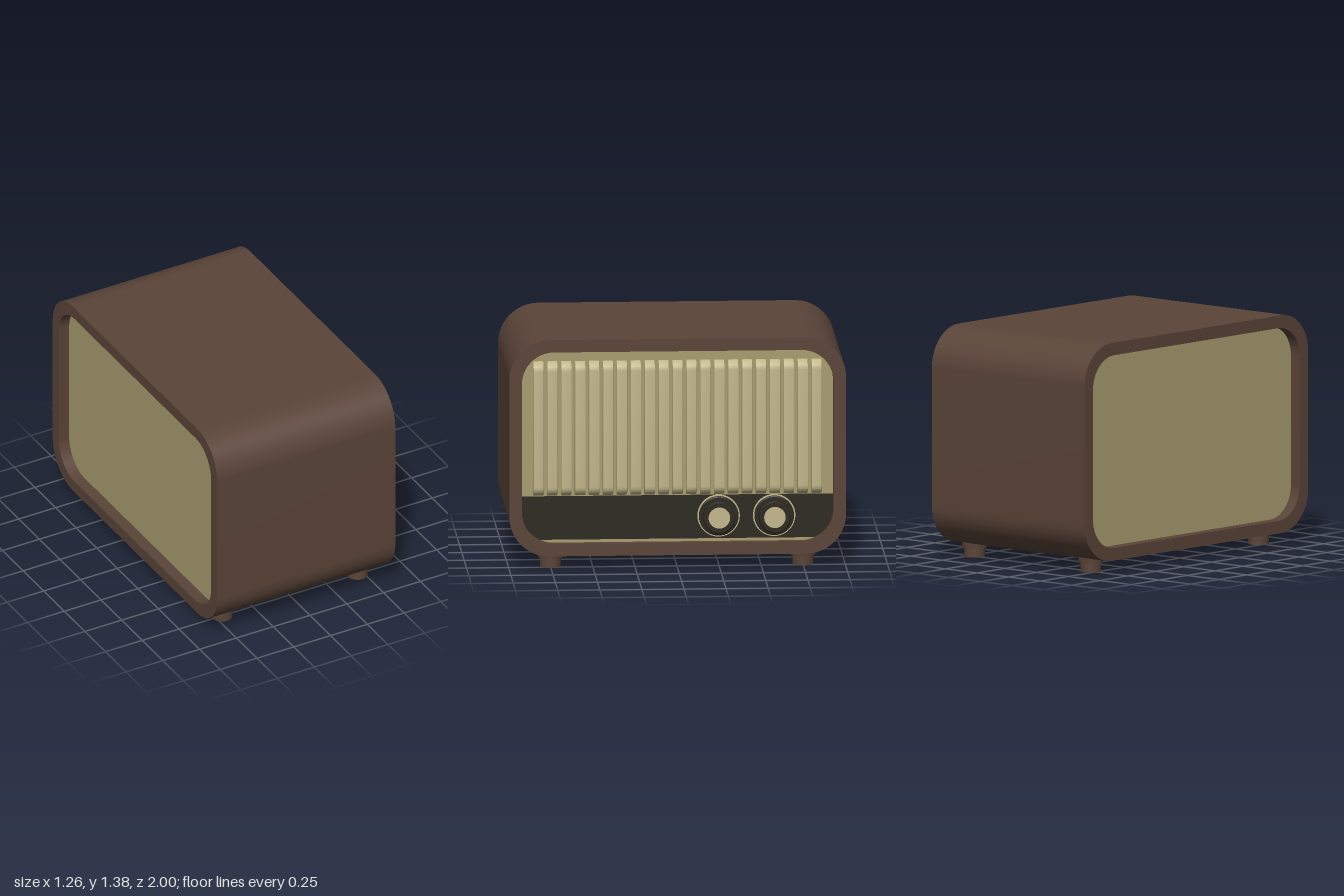
import * as THREE from 'three';
import { toCreasedNormals } from 'three/addons/utils/BufferGeometryUtils.js';

const material = (color, side = THREE.FrontSide) =>
  new THREE.MeshStandardMaterial({ color, side });

// Rounded rectangle in the cross-section plane (width along z, height along y)
function roundedRect(path, halfWidth, bottom, top, r) {
  const a = halfWidth - r, h = Math.PI / 2;
  path.moveTo(-a, bottom);
  path.absarc(a, bottom + r, r, -h, 0);
  path.absarc(a, top - r, r, 0, h);
  path.absarc(-a, top - r, r, h, 2 * h);
  path.absarc(-a, bottom + r, r, 2 * h, 3 * h);
  path.closePath();
  return path;
}

// Extrudes a cross-section from x0 to x1
function extrudeAlongX(shape, x0, x1) {
  const g = new THREE.ExtrudeGeometry(shape, { depth: x1 - x0, bevelEnabled: false, curveSegments: 20 });
  g.rotateY(Math.PI / 2).translate(x0, 0, 0);
  return toCreasedNormals(g, 0.5);
}

export function createModel() {
  const model = new THREE.Group();
  const wood = material(0x5a4438);
  const cream = material(0xc4b88c);
  const backing = material(0xa89d70);
  const dark = material(0x2c2820, THREE.DoubleSide);

  const add = (name, geometry, mat, parent = model) => {
    const mesh = new THREE.Mesh(geometry, mat);
    mesh.name = name;
    parent.add(mesh);
    return mesh;
  };

  // Cabinet: open rounded sleeve
  const sleeve = roundedRect(new THREE.Shape(), 1, 0.08, 1.385, 0.24);
  sleeve.holes.push(roundedRect(new THREE.Path(), 0.925, 0.155, 1.31, 0.19));
  add('cabinet', extrudeAlongX(sleeve, -0.63, 0.58), wood);

  // Recessed panels closing the sleeve
  const panel = roundedRect(new THREE.Shape(), 0.926, 0.154, 1.311, 0.19);
  add('frontPanel', extrudeAlongX(panel, 0.5, 0.535), backing);
  add('backPanel', extrudeAlongX(panel, -0.56, -0.53), backing);

  // Dark control strip, following the lower corners of the opening
  const cut = Math.asin(0.172 / 0.19);
  const strip = new THREE.Shape();
  strip.moveTo(0.925, 0.435);
  strip.lineTo(-0.925, 0.435);
  strip.absarc(-0.735, 0.345, 0.19, Math.PI, Math.PI + cut);
  strip.absarc(0.735, 0.345, 0.19, -cut, 0);
  strip.closePath();
  add('controlStrip', extrudeAlongX(strip, 0.53, 0.54), dark);

  // Grille slats with rounded ends, drawn in the x-y plane
  const slat = new THREE.Shape();
  const x0 = 0.525, x1 = 0.585, yb = 0.445, yt = 1.245, r = 0.05;
  slat.moveTo(x0, yb);
  slat.absarc(x1 - r, yb + r, r, -Math.PI / 2, 0);
  slat.absarc(x1 - r, yt - r, r, 0, Math.PI / 2);
  slat.lineTo(x0, yt);
  slat.closePath();
  let slatGeometry = new THREE.ExtrudeGeometry(slat, {
    depth: 0.05, curveSegments: 8, bevelThickness: 0.006, bevelSize: 0.005, bevelSegments: 2,
  });
  slatGeometry.translate(0, 0, -0.025);
  slatGeometry = toCreasedNormals(slatGeometry, 0.5);
  const grille = new THREE.Group();
  grille.name = 'grille';
  model.add(grille);
  for (let i = 0; i < 21; i++) {
    add('grilleSlat', slatGeometry, cream, grille).position.z = (10 - i) * 0.0826;
  }

  // Knobs: trim ring, stepped dark body, light cap
  const turned = (points) => toCreasedNormals(
    new THREE.LatheGeometry(points.map(([a, b]) => new THREE.Vector2(a, b)), 48).rotateZ(-Math.PI / 2), 0.5);
  const ring = turned([[0.126, 0], [0.126, 0.012], [0.1, 0.012]]);
  const body = turned([[0.118, 0], [0.118, 0.025], [0.112, 0.03], [0.097, 0.03], [0.097, 0.082],
    [0.09, 0.092], [0.064, 0.092], [0.064, 0.085]]);
  const cap = turned([[0.064, 0.06], [0.064, 0.089], [0, 0.089]]);
  for (const z of [-0.245, -0.575]) {
    const knob = new THREE.Group();
    knob.name = 'knob';
    knob.position.set(0.538, 0.31, z);
    add('knobRing', ring, cream, knob);
    add('knobBody', body, dark, knob);
    add('knobCap', cap, cream, knob);
    model.add(knob);
  }

  // Feet with a wider collar under the cabinet
  const leg = new THREE.CylinderGeometry(0.062, 0.062, 0.07, 32);
  const collar = new THREE.CylinderGeometry(0.077, 0.074, 0.03, 32);
  for (const x of [-0.458, 0.462]) {
    for (const z of [-0.75, 0.75]) {
      const foot = new THREE.Group();
      foot.name = 'foot';
      foot.position.set(x, 0, z);
      add('footLeg', leg, wood, foot).position.y = 0.035;
      add('footCollar', collar, wood, foot).position.y = 0.07;
      model.add(foot);
    }
  }
  return model;
}
